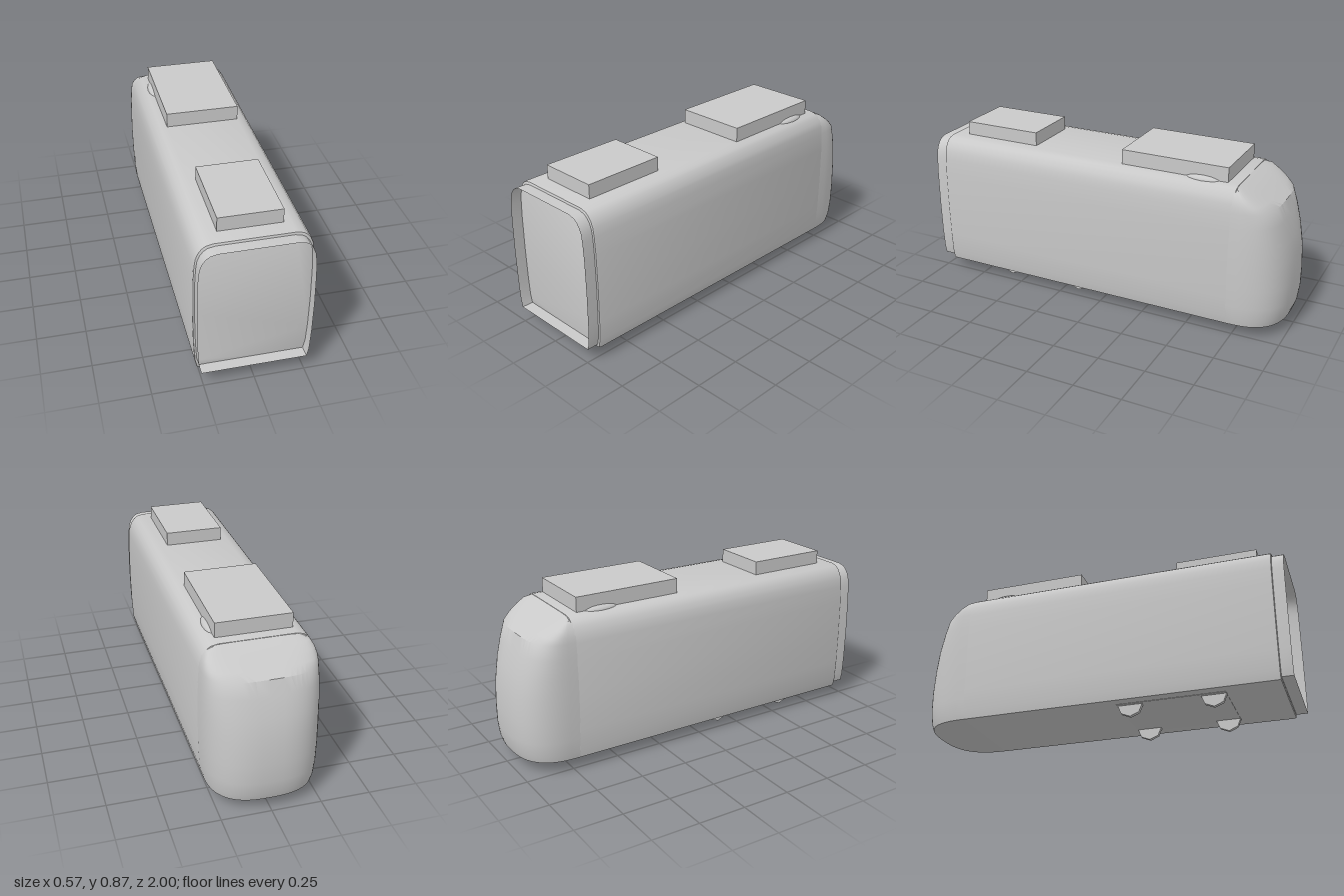
import * as THREE from 'three';
import { toCreasedNormals } from 'three/addons/utils/BufferGeometryUtils.js';

// Double-sided because the gangway is an open sleeve
const grey = new THREE.MeshStandardMaterial({ color: 0xc9c9c9, side: THREE.DoubleSide });
grey.name = 'body grey';

// Half cross-section of the car body: half width, height
const half = [
  [0.268, 0.063], [0.278, 0.11], [0.284, 0.22], [0.287, 0.4], [0.285, 0.58], [0.28, 0.67],
  [0.274, 0.715], [0.262, 0.745], [0.245, 0.768], [0.225, 0.782], [0.19, 0.79],
];
// Nose tip z at each height
const noseLine = [
  [-0.98, 0.063], [-0.992, 0.1], [-1, 0.17], [-1, 0.27], [-0.99, 0.4], [-0.97, 0.5],
  [-0.94, 0.6], [-0.912, 0.675], [-0.868, 0.705], [-0.82, 0.735], [-0.775, 0.763], [-0.72, 0.79],
];
// Squareness of the nose plan at each height
const nosePower = [[2.7, 0.4], [3.2, 0.675], [5.5, 0.79]];
const NOSE_Z = -0.72, REAR_Z = 0.94, BEVEL = 0.01;

// Linear lookup of a [value, height] table
function valueAt(table, y) {
  let i = 1;
  while (i < table.length - 1 && table[i][1] < y) i++;
  const [a, ya] = table[i - 1], [b, yb] = table[i];
  return THREE.MathUtils.lerp(a, b, THREE.MathUtils.clamp((y - ya) / (yb - ya), 0, 1));
}

// Surface through rows of points; optionally closes the first row with a fan
function loft(rows, fanCentre) {
  const n = rows[0].length, index = [];
  const pos = rows.flat().flatMap((p) => [p.x, p.y, p.z]);
  for (let r = 0; r < rows.length - 1; r++) {
    for (let c = 0; c < n - 1; c++) {
      const a = r * n + c, b = a + n;
      index.push(a, a + 1, b, a + 1, b + 1, b);
    }
  }
  if (fanCentre) {
    const k = pos.length / 3;
    pos.push(fanCentre.x, fanCentre.y, fanCentre.z);
    for (let c = 0; c < n - 1; c++) index.push(k, c + 1, c);
  }
  const geo = new THREE.BufferGeometry();
  geo.setAttribute('position', new THREE.Float32BufferAttribute(pos, 3));
  geo.setIndex(index);
  return toCreasedNormals(geo, 0.6);
}

export function createModel() {
  const model = new THREE.Group();
  model.name = 'railCar';
  const add = (name, geo, x = 0, y = 0, z = 0) => {
    const mesh = new THREE.Mesh(geo, grey);
    mesh.name = name;
    mesh.position.set(x, y, z);
    model.add(mesh);
    return mesh;
  };

  // Main body: mirrored cross-section extruded along z, with softened end edges
  const outline = [
    ...half.map(([x, y]) => new THREE.Vector2(x, y)),
    ...half.slice().reverse().map(([x, y]) => new THREE.Vector2(-x, y)),
  ];
  const body = new THREE.ExtrudeGeometry(new THREE.Shape(outline), {
    depth: REAR_Z - BEVEL - NOSE_Z,
    bevelThickness: BEVEL, bevelSize: 0.008, bevelOffset: -0.008, bevelSegments: 2,
  });
  add('body', toCreasedNormals(body, 0.6), 0, 0, NOSE_Z);

  // Rounded nose: stacked superellipse arcs
  const rows = noseLine.map(([tip, y]) => {
    const w = valueAt(half, y), depth = NOSE_Z - tip, power = valueAt(nosePower, y);
    const row = [];
    for (let i = 0; i <= 32; i++) {
      const t = (i / 32) * Math.PI, c = Math.cos(t), s = Math.max(0, Math.sin(t));
      row.push(new THREE.Vector3(
        w * Math.sign(c) * Math.abs(c) ** (2 / power), y, NOSE_Z - depth * s ** (2 / power)));
    }
    return row;
  });
  add('nose', loft(rows, new THREE.Vector3(0, 0.063, NOSE_Z)));

  // Gangway: open sleeve at the coupling end
  const sleeve = (z) => [...outline, outline[0]].map(
    (p) => new THREE.Vector3(p.x * 0.967, 0.08 + (p.y - 0.063) * 0.957, z));
  add('gangway', loft([sleeve(REAR_Z - BEVEL), sleeve(1)]));

  // Roof equipment
  add('frontRoofUnit', new THREE.BoxGeometry(0.31, 0.082, 0.43), 0, 0.821, 0.64);
  add('rearRoofUnit', new THREE.BoxGeometry(0.382, 0.09, 0.57), 0, 0.821, -0.387);

  // Underframe plate
  add('underframe', new THREE.BoxGeometry(0.42, 0.008, 0.56), 0, 0.065, 0.38);

  for (const side of [-1, 1]) {
    // Low fairing beside the rear roof unit
    add('roofFairing', new THREE.SphereGeometry(1, 16, 10), side * 0.175, 0.783, -0.54)
      .scale.set(0.04, 0.026, 0.1);
    // Wheels, half sunk in the floor
    for (const z of [0.597, 0.167]) {
      const wheel = new THREE.CylinderGeometry(0.066, 0.066, 0.022, 8);
      wheel.rotateZ(Math.PI / 2);
      add('wheel', toCreasedNormals(wheel, 0.9), side * 0.18, 0.066, z);
    }
  }
  return model;
}
